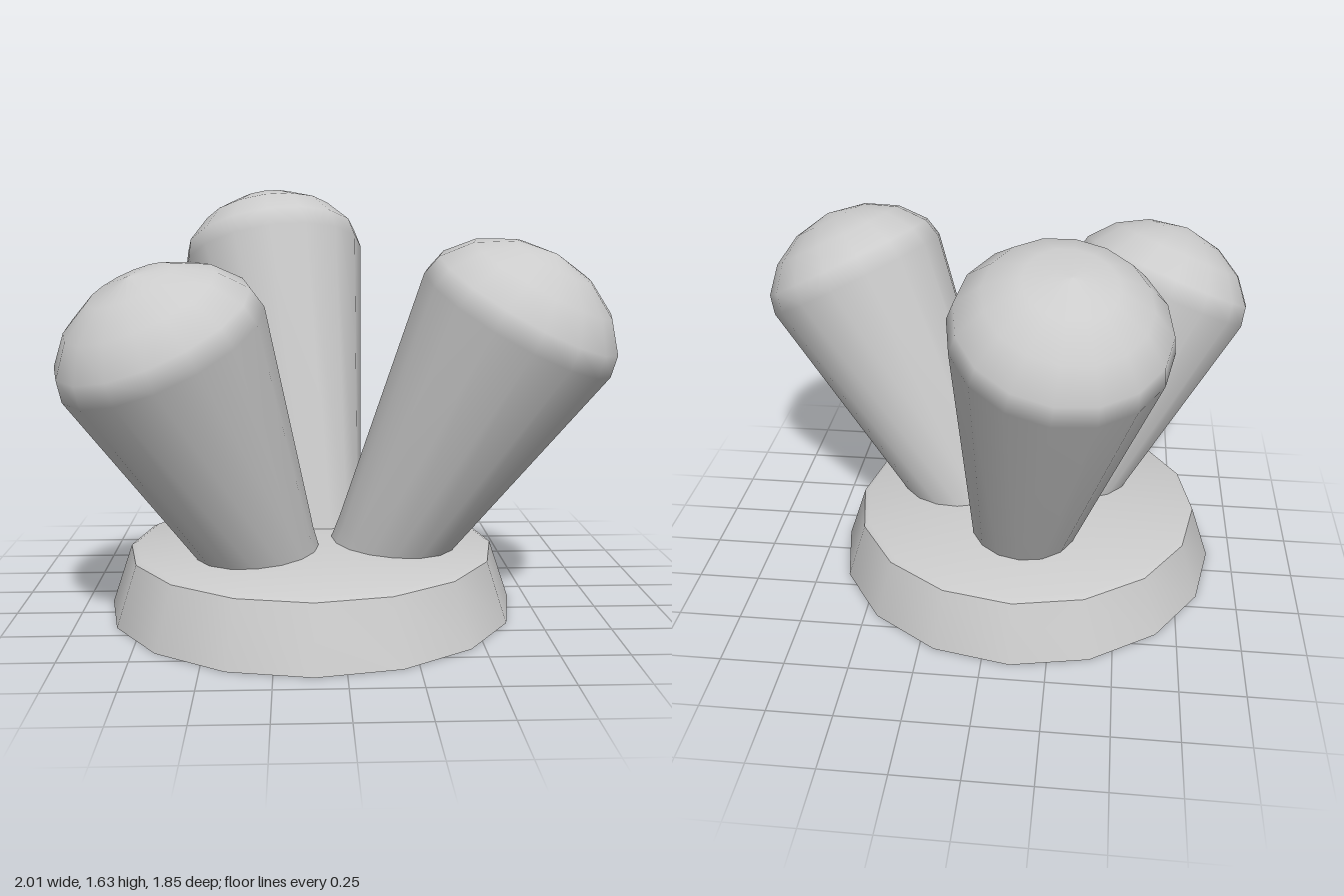
import * as THREE from 'three';
import { toCreasedNormals } from 'three/addons/utils/BufferGeometryUtils.js';

const SIDES = 16;
const material = new THREE.MeshStandardMaterial({ color: 0xcccccc, side: THREE.DoubleSide });

const lathe = (points) =>
  new THREE.LatheGeometry(points.map(([r, y]) => new THREE.Vector2(r, y)), SIDES);

// Hollow, flared stalk with a domed head; foot is where it meets the base, rim is where the dome starts
function makeStalk(name, foot, rim) {
  const start = new THREE.Vector3(...foot);
  const axis = new THREE.Vector3(...rim).sub(start);
  const length = axis.length();
  const profile = [
    [0.195, -0.16], [0.215, 0], [0.388, length], [0.37, length + 0.08],
    [0.285, length + 0.18], [0.16, length + 0.25], [0, length + 0.28],
  ];
  const stalk = new THREE.Mesh(lathe(profile), material);
  stalk.name = name;
  stalk.position.copy(start);
  stalk.quaternion.setFromUnitVectors(new THREE.Vector3(0, 1, 0), axis.normalize());
  return stalk;
}

export function createModel() {
  const model = new THREE.Group();
  model.name = 'stalkCluster';

  // Open-bottomed base with sloped wall, small bevel and shallow conical top
  const base = new THREE.Mesh(
    toCreasedNormals(lathe([[0.79, 0], [0.712, 0.232], [0.69, 0.243], [0, 0.285]]), 0.6),
    material
  );
  base.name = 'base';
  base.position.set(-0.11, 0, 0.12);
  model.add(base);

  // Three stalks leaning outwards
  model.add(
    makeStalk('backStalk', [-0.115, 0.27, -0.11], [-0.265, 1.34, -0.545]),
    makeStalk('leftStalk', [0.19, 0.27, 0.2], [0.64, 1.14, 0.4]),
    makeStalk('rightStalk', [-0.305, 0.27, 0.3], [-0.635, 1.065, 0.55])
  );
  return model;
}
